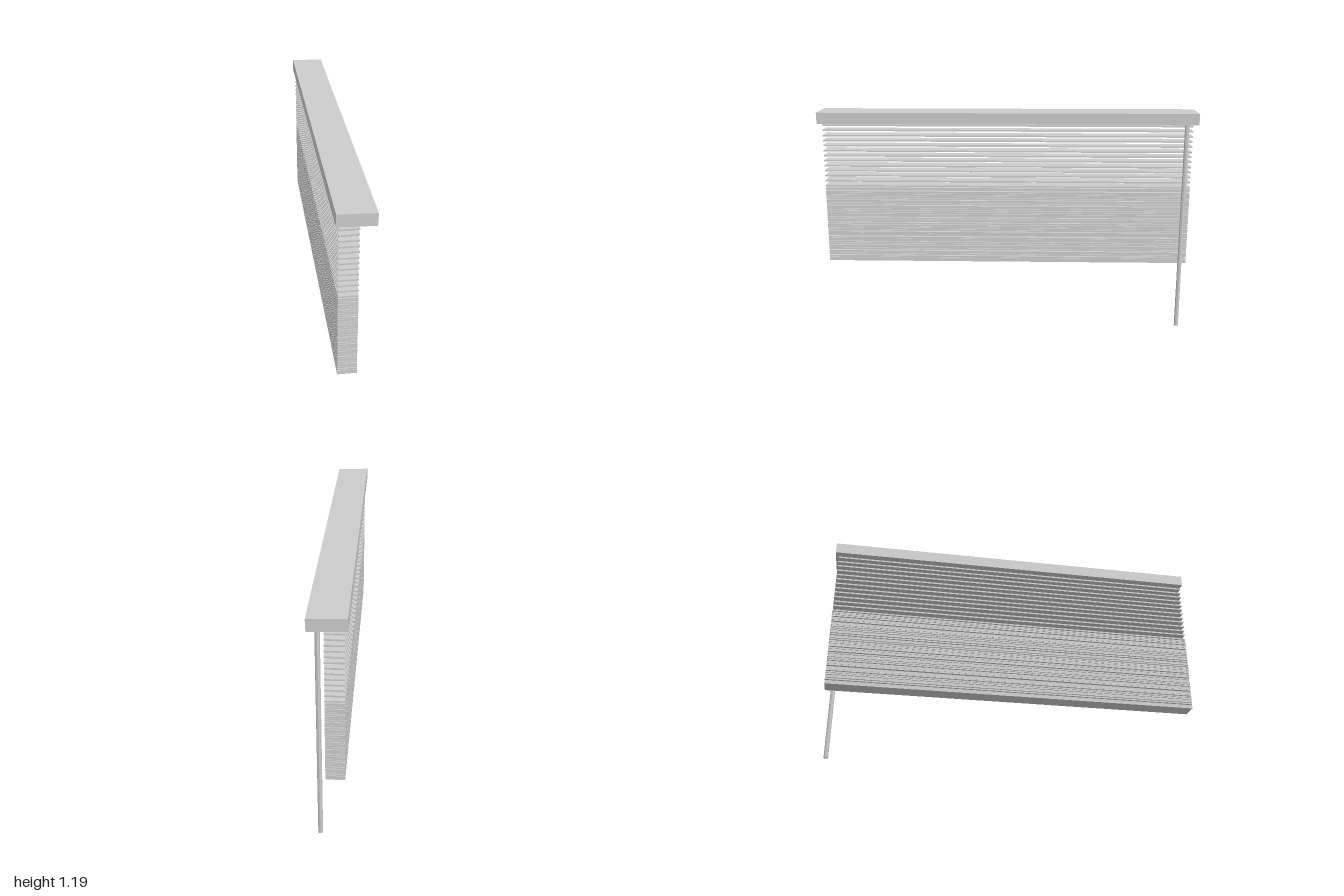
import * as THREE from 'three';

export function createModel() {
  const group = new THREE.Group();
  group.name = 'windowBlind';
  const material = new THREE.MeshStandardMaterial({ color: 0xcccccc, flatShading: true });

  const add = (name, geometry, x, y, z, tilt = 0) => {
    const mesh = new THREE.Mesh(geometry, material);
    mesh.name = name;
    mesh.position.set(x, y, z);
    mesh.rotation.z = tilt;
    group.add(mesh);
  };

  // Head rail, leaning very slightly to one side
  add('headRail', new THREE.BoxGeometry(0.174, 0.059, 2), -0.002, 1.158, 0, -0.028);

  // Open slats hanging at an even pitch, each with a tiny tilt
  const slat = new THREE.BoxGeometry(0.09, 0.008, 1.975);
  const slatX = -0.032, slatZ = 0.0025;
  const openCount = 13;
  for (let i = 0; i < openCount; i++) {
    add('openSlat', slat, slatX, 1.11 - i * 0.0275, slatZ, 0.018 * Math.sin(i * 2.1));
  }

  // Gathered slats stacked tightly below, slightly uneven
  const stackCount = 41, stackTop = 0.767, stackBottom = 0.373;
  for (let i = 0; i < stackCount; i++) {
    const y = THREE.MathUtils.lerp(stackTop, stackBottom, i / (stackCount - 1));
    add('stackedSlat', slat, slatX, y + 0.0015 * Math.sin(i * 1.7), slatZ, 0.025 * Math.sin(i * 2.4));
  }

  // Bottom rail closing the stack
  add('bottomRail', new THREE.BoxGeometry(0.09, 0.014, 1.975), slatX, 0.362, slatZ);

  // Tilt wand hanging from the head rail
  add('tiltWand', new THREE.CylinderGeometry(0.0115, 0.0115, 1.135, 8), 0.0425, 0.5675, -0.946);

  return group;
}
